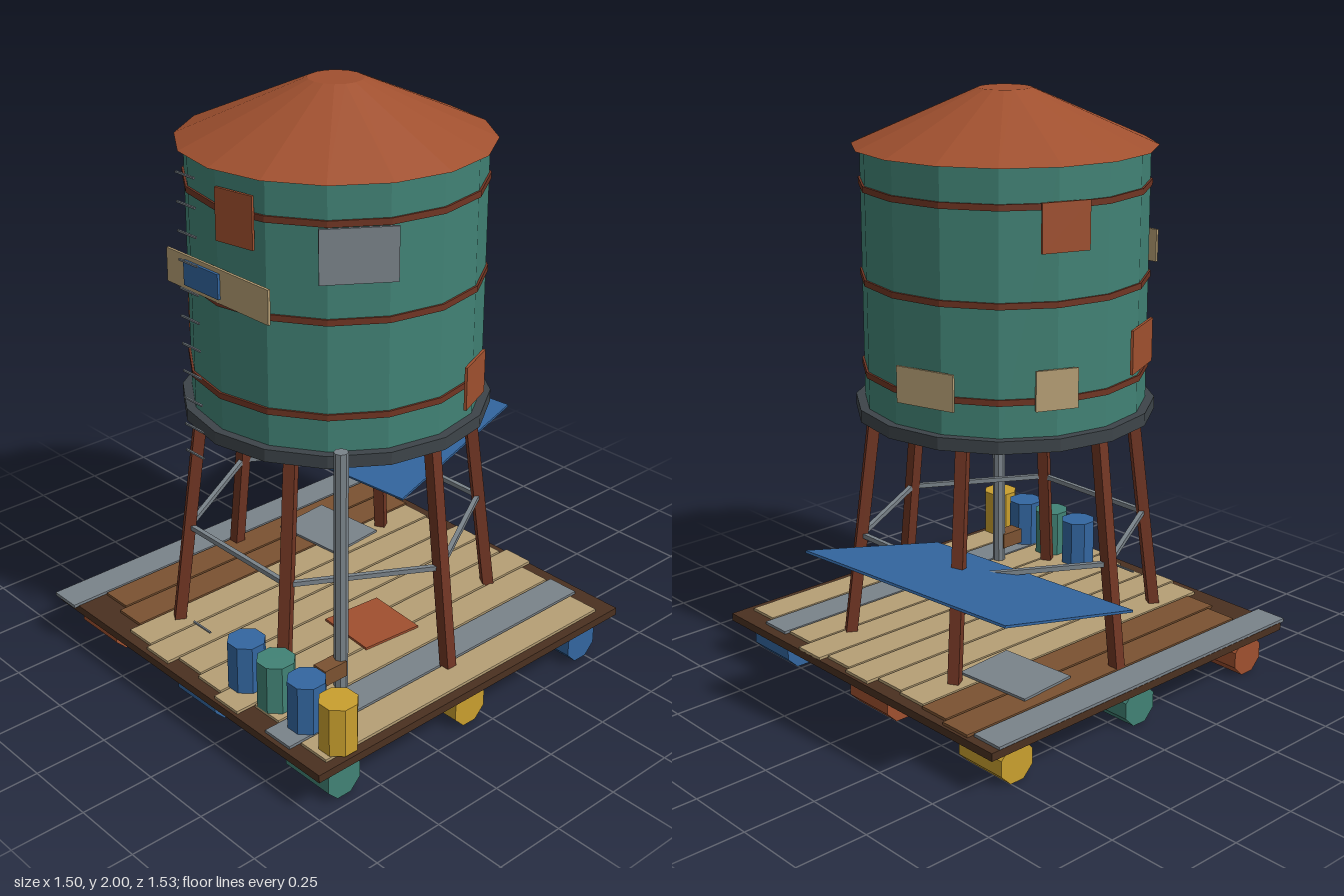
import * as THREE from 'three';

const colours = {
  teal: 0x418275, rust: 0xa0502f, darkRust: 0x703523, blue: 0x3366a0, yellow: 0xc99f2e,
  tan: 0xb69f75, brown: 0x7b5231, darkBrown: 0x4a3020, steel: 0x7a838a, darkSteel: 0x3d4449,
};

export function createModel() {
  const model = new THREE.Group();
  const mats = {};
  for (const [name, color] of Object.entries(colours)) {
    mats[name] = new THREE.MeshStandardMaterial({ color, flatShading: true });
    mats[name].name = name;
  }

  const add = (name, geo, mat, x, y, z, parent = model) => {
    const m = new THREE.Mesh(geo, mats[mat]);
    m.name = name;
    m.position.set(x, y, z);
    parent.add(m);
    return m;
  };
  const box = (name, mat, w, h, d, x, y, z, parent) =>
    add(name, new THREE.BoxGeometry(w, h, d), mat, x, y, z, parent);
  const drum = (name, mat, rTop, rBottom, h, sides, x, y, z, parent) =>
    add(name, new THREE.CylinderGeometry(rTop, rBottom, h, sides), mat, x, y, z, parent);
  // Square bar between two points
  const bar = (name, mat, a, b, t) => {
    const m = box(name, mat, t, t, a.distanceTo(b), 0, 0, 0);
    m.position.copy(a).lerp(b, 0.5);
    m.lookAt(b);
    return m;
  };

  const C = 0.07; // shared centre of tank and raft in x and z

  // Raft deck with uneven planks: [colour, back z, front z]
  box('deckBase', 'darkBrown', 1.357, 0.027, 1.357, 0.068, 0.147, 0.068);
  const planks = [
    ['steel', -0.58, 0.765], ['brown', -0.6, 0.635], ['brown', -0.58, 0.665], ['tan', -0.57, 0.71],
    ['tan', -0.56, 0.73], ['tan', -0.6, 0.69], ['tan', -0.58, 0.705], ['tan', -0.61, 0.735],
    ['tan', -0.56, 0.67], ['steel', -0.575, 0.73], ['tan', -0.54, 0.69],
  ];
  planks.forEach(([mat, z0, z1], i) =>
    box('plank', mat, 0.113, 0.012, z1 - z0, -0.553 + i * 0.121, 0.164, (z0 + z1) / 2));
  box('deckPatchSteel', 'steel', 0.28, 0.008, 0.22, -0.3, 0.174, -0.225).rotation.y = 0.08;
  box('deckPatchRust', 'rust', 0.22, 0.008, 0.22, 0.27, 0.174, 0.09).rotation.y = -0.08;

  // Float drums below the deck, rows from front to back
  const floats = [['rust', 'blue', 'teal'], ['teal', 'darkRust', 'yellow'], ['yellow', 'rust', 'blue']];
  floats.forEach((row, r) => row.forEach((mat, c) => {
    const m = drum('floatDrum', mat, 0.07, 0.07, 0.195, 8, -0.478 + c * 0.546, 0.066, 0.615 - r * 0.545);
    m.rotation.set(Math.PI / 8, 0, Math.PI / 2);
  }));

  // Storage barrels on the deck
  ['blue', 'teal', 'blue', 'yellow'].forEach((mat, i) => {
    drum('barrel', mat, 0.063, 0.063, 0.165, 8, 0.252 + i * 0.1435, 0.2525, 0.613).rotation.y = Math.PI / 8;
  });

  // Six splayed legs with a ring of braces
  const ringPoint = (i, r, y) => {
    const a = (i * Math.PI) / 3;
    return new THREE.Vector3(C + r * Math.cos(a), y, C + r * Math.sin(a));
  };
  for (let i = 0; i < 6; i++) {
    bar('leg', 'darkRust', ringPoint(i, 0.54, 0.165), ringPoint(i, 0.44, 0.95), 0.038);
    bar('brace', 'steel', ringPoint(i, 0.495, 0.517), ringPoint(i + 1, 0.495, 0.517), 0.016);
  }

  // Tank, hoops and roof
  drum('tankBase', 'darkSteel', 0.5, 0.5, 0.042, 16, C, 0.956, C);
  drum('tank', 'teal', 0.47, 0.47, 0.86, 16, C, 1.395, C);
  for (const y of [1.093, 1.398, 1.7]) drum('hoop', 'darkRust', 0.477, 0.477, 0.02, 16, C, y, C);
  drum('roof', 'rust', 0.087, 0.497, 0.18, 16, C, 1.91, C);

  // Plates fixed around the tank: [colour, angle in degrees, y, width, height, radius]
  const patches = [
    ['rust', 10, 1.683, 0.142, 0.165, 0.475], ['tan', 0, 1.455, 0.48, 0.11, 0.474],
    ['steel', 56, 1.605, 0.234, 0.17, 0.475], ['rust', -66, 1.198, 0.19, 0.145, 0.478],
    ['rust', -110, 1.637, 0.16, 0.155, 0.476], ['tan', -164, 1.12, 0.21, 0.12, 0.476],
    ['tan', -113, 1.13, 0.14, 0.13, 0.476], ['rust', 113, 1.092, 0.157, 0.145, 0.476],
  ];
  for (const [mat, deg, y, w, h, r] of patches) {
    const a = THREE.MathUtils.degToRad(deg);
    box('tankPatch', mat, w, h, 0.009, C + r * Math.sin(a), y, C + r * Math.cos(a)).rotation.y = a;
  }
  box('frontPlate', 'blue', 0.165, 0.08, 0.009, 0.007, 1.456, 0.553);

  // Ladder rungs, with a gap where several are missing
  for (let i = 0; i < 18; i++) {
    if (i > 0 && i < 7) continue;
    box('ladderRung', 'steel', 0.088, 0.006, 0.006, -0.023, 0.23 + i * 0.0912, 0.578);
  }

  // Drain pipe and tap box
  drum('pipe', 'steel', 0.023, 0.023, 0.9, 8, 0.461, 0.55, 0.402);
  box('tapBox', 'brown', 0.055, 0.055, 0.09, 0.461, 0.247, 0.447);

  // Tilted awning sheet
  const awning = box('awning', 'blue', 0.829, 0.008, 0.607, -0.308, 0.565, -0.4325);
  awning.rotation.set(0.25, 0.097, 0, 'YXZ');

  return model;
}
